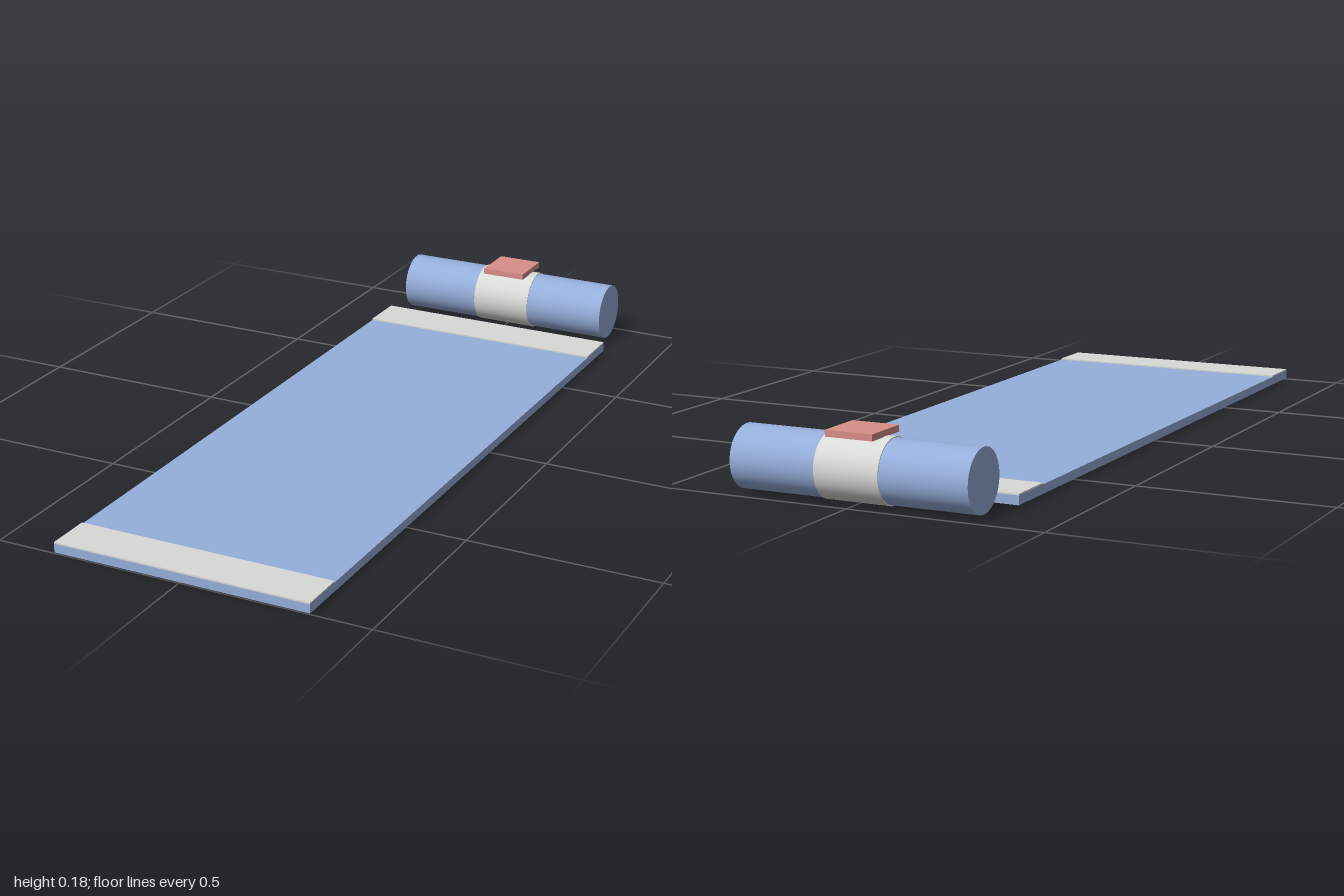
import * as THREE from 'three';

export function createModel() {
  const group = new THREE.Group();
  const mat = (name, color) => {
    const m = new THREE.MeshStandardMaterial({ color });
    m.name = name;
    return m;
  };
  const blue = mat('blue', 0x96aedb);
  const grey = mat('lightGrey', 0xd8dad6);
  const red = mat('red', 0xd98e8a);

  const add = (name, geometry, material, x, y, z) => {
    const mesh = new THREE.Mesh(geometry, material);
    mesh.name = name;
    mesh.position.set(x, y, z);
    group.add(mesh);
    return mesh;
  };
  // Box given by its width and its y and z ranges
  const box = (name, material, w, y0, y1, z0, z1) =>
    add(name, new THREE.BoxGeometry(w, y1 - y0, z1 - z0), material, 0, (y0 + y1) / 2, (z0 + z1) / 2);
  // Cylinder lying along x
  const roll = (name, material, r, length) =>
    add(name, new THREE.CylinderGeometry(r, r, length, 48).rotateZ(Math.PI / 2), material, 0, 0.081, -0.922);

  // Unrolled mat with a raised strip at each end
  box('mat', blue, 0.686, 0.003, 0.026, -0.807, 1);
  box('backStrip', grey, 0.686, 0.026, 0.03, -0.807, -0.68);
  box('frontStrip', grey, 0.686, 0.026, 0.03, 0.88, 1);

  // Rolled-up mat behind, held by a band with a flat tag on top
  roll('rolledMat', blue, 0.078, 0.624);
  roll('band', grey, 0.0805, 0.169);
  box('tag', red, 0.124, 0.16, 0.176, -0.985, -0.86);

  return group;
}
